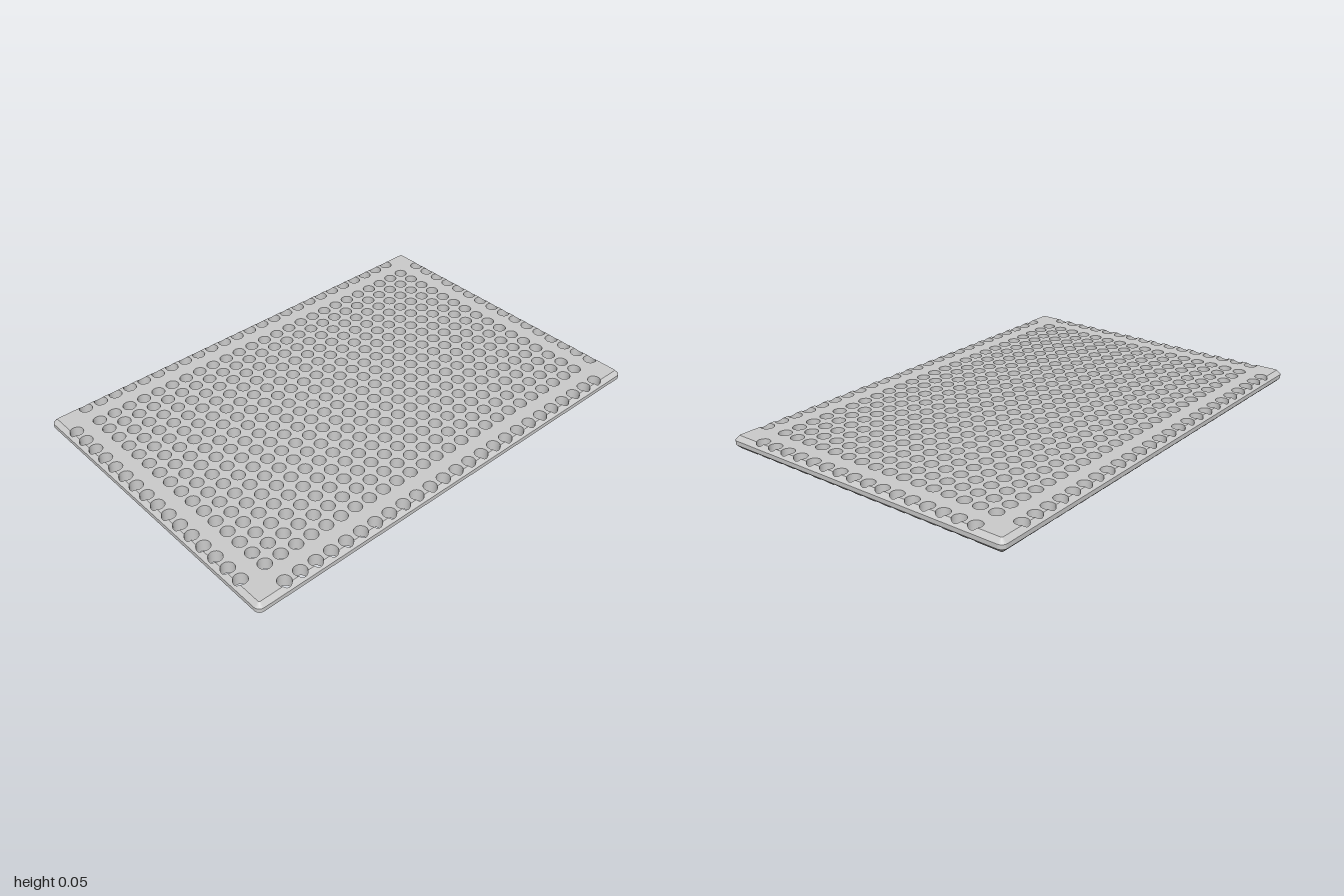
import * as THREE from 'three';
import { mergeGeometries } from 'three/addons/utils/BufferGeometryUtils.js';

const P = 1 / 14;          // hole pitch
const R = 0.0275;          // hole radius
const T = 0.054;           // board thickness
const C = 0.018;           // chamfer on the top and bottom edges
const COLS = 25, ROWS = 16;
const HX = 14 * P, HZ = 9.5 * P;   // half width and half depth
const RO = 0.024, RI = RO - C;     // corner radii of the outer outline and of the flat face

// Height of the top surface over a plan point
function topY(p) {
  const dx = Math.max(0, Math.abs(p.x) - (HX - RO));
  const dz = Math.max(0, Math.abs(p.y) - (HZ - RO));
  return T - Math.max(0, Math.hypot(dx, dz) - RI);
}

// Arc of plan points; angles are measured from the v axis towards u
function arc(at, u, v, r, from, to, n) {
  const pts = [];
  for (let i = 0; i <= n; i++) {
    const a = from + (to - from) * i / n;
    pts.push(at(u + r * Math.sin(a), v + r * Math.cos(a)));
  }
  return pts;
}

// Vertical band around a closed loop: counterclockwise faces out, clockwise faces in
function wall(pts, low, high) {
  const pos = [], idx = [], n = pts.length;
  pts.forEach((p, i) => {
    const j = (i + 1) % n;
    pos.push(p.x, low(p), -p.y, p.x, high(p), -p.y);
    idx.push(2 * i, 2 * j, 2 * j + 1, 2 * i, 2 * j + 1, 2 * i + 1);
  });
  const g = new THREE.BufferGeometry();
  g.setAttribute('position', new THREE.Float32BufferAttribute(pos, 3));
  g.setIndex(idx);
  g.computeVertexNormals();
  return g;
}

function flat(geometry) {
  const g = geometry.toNonIndexed();
  g.computeVertexNormals();
  return g;
}

export function createModel() {
  const group = new THREE.Group();
  const material = new THREE.MeshStandardMaterial({ color: 0xcccccc });
  const add = (name, geometry) => {
    const mesh = new THREE.Mesh(geometry, material);
    mesh.name = name;
    group.add(mesh);
  };

  const inner = [], outer = [], strips = [], loops = [];
  const crease = Math.acos((P / 2 - C) / R);  // where an edge hole meets the chamfer

  // Four sides: flat face outline, chamfer strip and the edge holes crossing both
  for (let k = 0; k < 4; k++) {
    const c = [1, 0, -1, 0][k], s = [0, 1, 0, -1][k];
    const at = (u, v) => new THREE.Vector2(u * c + v * s, u * s - v * c);
    const [L, N, count] = k % 2 ? [HZ, HX, ROWS] : [HX, HZ, COLS];
    const iu = L - RO, iv = N - C;
    const face = [], notches = [];
    for (let i = 0; i < count; i++) {
      const u = (i - (count - 1) / 2) * P, v = N - P / 2;
      const inArc = arc(at, u, v, R, -crease, crease - 2 * Math.PI, 18);
      const outArc = arc(at, u, v, R, crease, -crease, 10);
      face.push(...inArc);
      notches.unshift(...outArc);
      loops.push([...inArc, ...outArc.slice(1, -1)]);
    }
    strips.push(new THREE.Shape([at(-iu, N), at(iu, N), at(iu, iv), ...notches, at(-iu, iv)]));

    // Rounded corner after this side, with its chamfer
    const outCorner = arc(at, iu, N - RO, RO, 0, Math.PI / 2, 6);
    const inCorner = arc(at, iu, N - RO, RI, 0, Math.PI / 2, 6);
    for (let i = 0; i < 6; i++) {
      strips.push(new THREE.Shape([outCorner[i], outCorner[i + 1], inCorner[i + 1], inCorner[i]]));
    }
    inner.push(...face, ...inCorner);
    outer.push(...outCorner);
  }

  // Regular grid of holes in the flat face
  const plate = new THREE.Shape(inner);
  const plan = (u, v) => new THREE.Vector2(u, v);
  for (let i = 0; i < COLS; i++) {
    for (let j = 0; j < ROWS; j++) {
      const u = (i - (COLS - 1) / 2) * P, v = (j - (ROWS - 1) / 2) * P;
      const loop = arc(plan, u, v, R, 0, 2 * Math.PI, 24).slice(0, -1);
      plate.holes.push(new THREE.Path(loop));
      loops.push(loop);
    }
  }

  // Top surface, lowered along the chamfers; the bottom is the same turned over
  const surface = new THREE.ShapeGeometry([plate, ...strips]);
  const pos = surface.attributes.position;
  for (let i = 0; i < pos.count; i++) pos.setZ(i, topY({ x: pos.getX(i), y: pos.getY(i) }));
  surface.rotateX(-Math.PI / 2);
  const top = flat(surface);
  add('topFace', top);
  add('bottomFace', top.clone().rotateX(Math.PI).translate(0, T, 0));

  // Upright rim and hole walls
  add('rim', flat(wall(outer, () => C, () => T - C)));
  add('holeWalls', mergeGeometries(loops.map((l) => wall(l, (p) => T - topY(p), topY))));
  return group;
}
